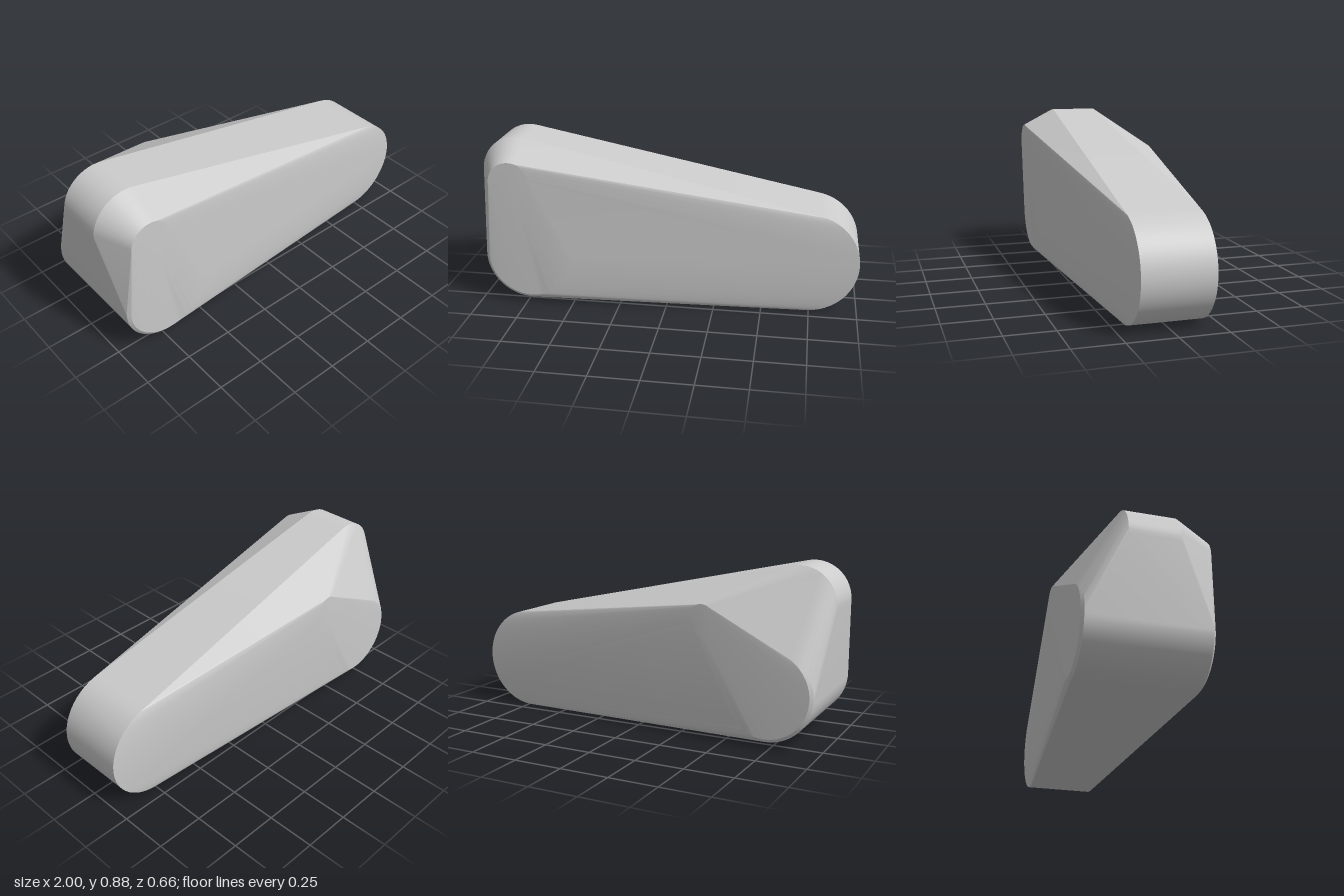
import * as THREE from 'three';
import { ConvexGeometry } from 'three/addons/geometries/ConvexGeometry.js';
import { toCreasedNormals } from 'three/addons/utils/BufferGeometryUtils.js';

// Points of a circle facing z
function disc(x, y, r, z, segments = 64) {
  const points = [];
  for (let i = 0; i < segments; i++) {
    const a = (i / segments) * Math.PI * 2;
    points.push(new THREE.Vector3(x + r * Math.cos(a), y + r * Math.sin(a), z));
  }
  return points;
}

export function createModel() {
  const group = new THREE.Group();
  group.name = 'taperedPod';

  // The shell is stretched tightly around these rounded ends: x, y, radius, z
  const discs = [
    // narrow rounded nose
    [0.73, 0.27, 0.27, 0.182], [0.73, 0.27, 0.27, -0.182],
    // raised rear top
    [-0.81, 0.686, 0.19, 0.15], [-0.81, 0.686, 0.19, -0.105],
    // wide rear bottom with a small bevel on both sides
    [-0.72, 0.268, 0.24, 0.3], [-0.72, 0.268, 0.24, -0.3],
    [-0.72, 0.268, 0.223, 0.313], [-0.72, 0.268, 0.223, -0.313],
    // front shoulder and the lower, further forward back shoulder
    [-0.805, 0.677, 0.11, 0.328],
    [-0.39, 0.62, 0.066, -0.328],
  ];

  const hull = new ConvexGeometry(discs.flatMap((d) => disc(...d)));
  const shell = new THREE.Mesh(
    toCreasedNormals(hull, 0.22),
    new THREE.MeshStandardMaterial({ color: 0xcccccc })
  );
  shell.name = 'shell';
  group.add(shell);
  return group;
}
